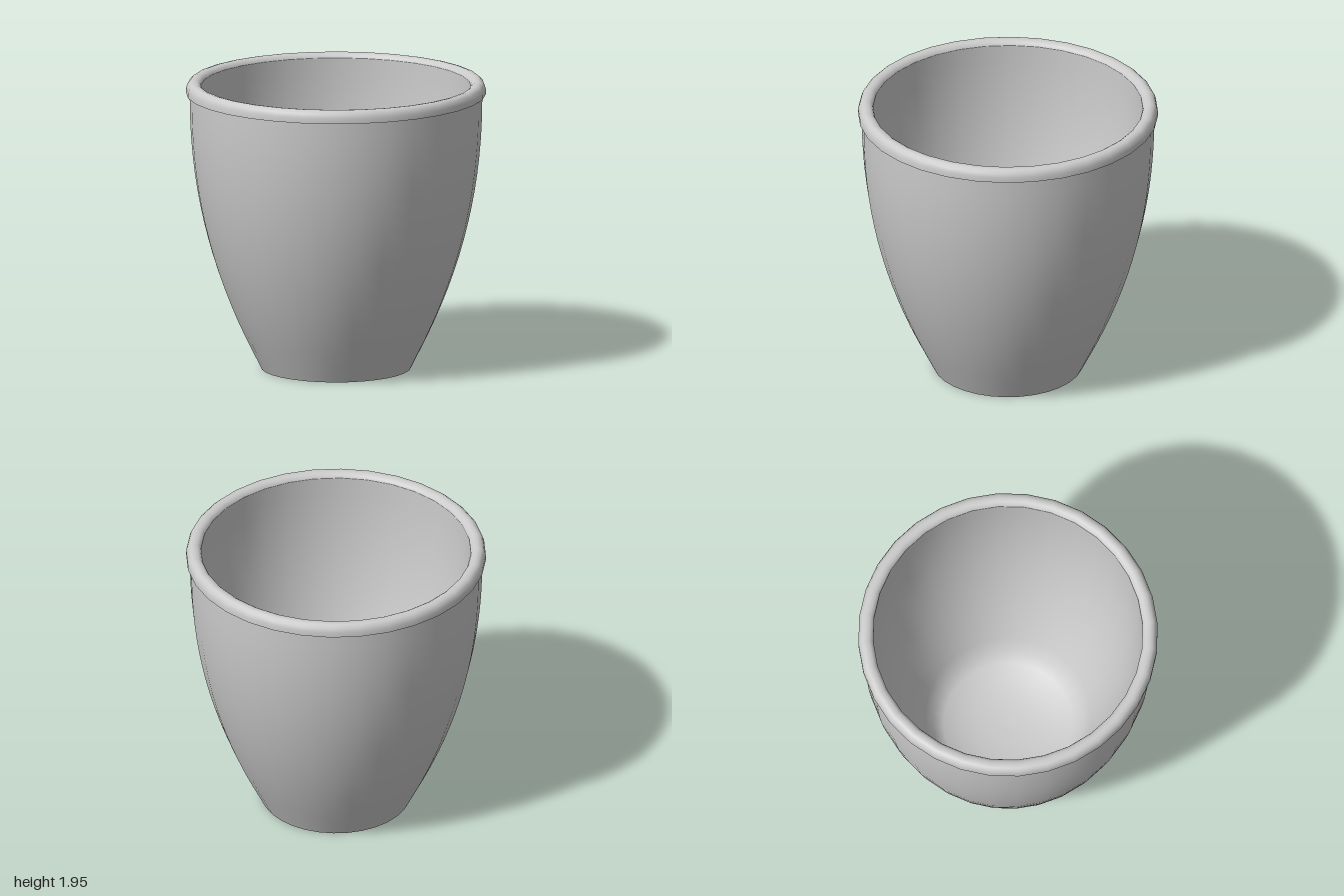
import * as THREE from 'three';

const SIDES = 32;
const material = new THREE.MeshStandardMaterial({ color: 0xcccccc });

// Smooth surface of revolution; separate pieces keep the edges between them sharp
function turned(name, profile) {
  const points = profile.map(([r, y]) => new THREE.Vector2(r, y));
  const geometry = new THREE.LatheGeometry(points, SIDES, THREE.MathUtils.degToRad(2.25));
  const mesh = new THREE.Mesh(geometry, material);
  mesh.name = name;
  return mesh;
}

// Wall profile from bottom to top: flares quickly, then rises almost upright
function wall(bottomRadius, bottomY, topRadius, topY, steps = 16) {
  return Array.from({ length: steps + 1 }, (_, i) => {
    const t = i / steps;
    return [
      topRadius - (topRadius - bottomRadius) * (1 - t) ** 2.15,
      bottomY + (topY - bottomY) * t,
    ];
  });
}

export function createModel() {
  const pot = new THREE.Group();
  pot.name = 'pot';

  // Flat foot
  pot.add(turned('base', [[0, 0], [0.5, 0]]));

  // Outside: short straight cone at the foot, then the curved wall
  pot.add(turned('outerWall', [[0.5, 0], ...wall(0.555, 0.11, 0.976, 1.865)]));

  // Lip: flat underside and rounded bead
  pot.add(turned('lipUnderside', [[0.976, 1.865], [1, 1.865]]));
  pot.add(turned('lip', [
    [1, 1.865], [1, 1.9], [0.99, 1.928], [0.972, 1.945], [0.95, 1.95],
    [0.926, 1.946], [0.908, 1.934], [0.9, 1.917],
  ]));

  // Inside wall running into a shallow bowl-shaped floor
  pot.add(turned('innerWall', [
    ...wall(0.5, 0.2, 0.9, 1.917).reverse(),
    [0.43, 0.155], [0.33, 0.117], [0.22, 0.093], [0.11, 0.081], [0, 0.078],
  ]));
  return pot;
}
